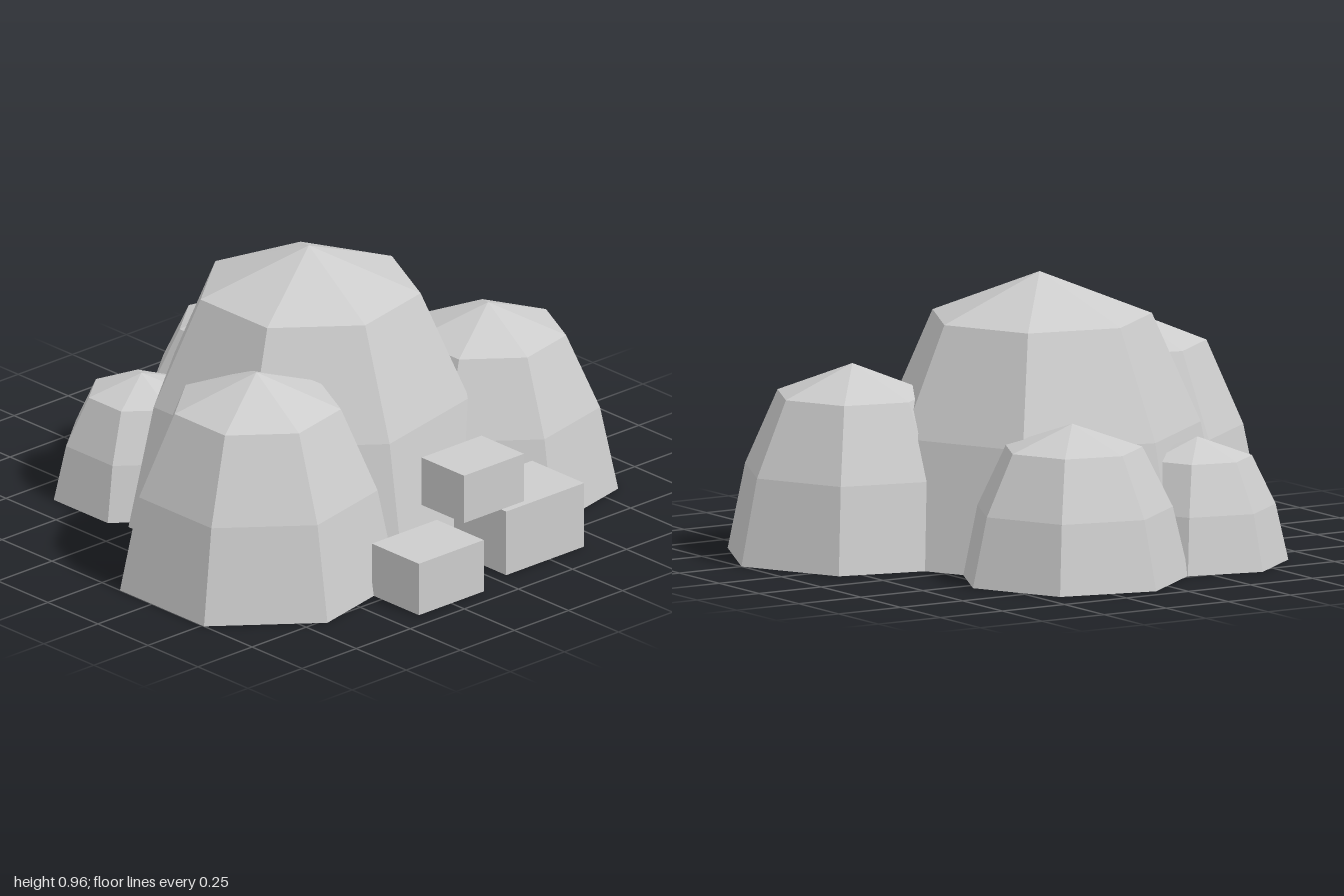
import * as THREE from 'three';

export function createModel() {
  const group = new THREE.Group();
  group.name = 'boulderCluster';

  const stone = new THREE.MeshStandardMaterial({
    name: 'stone grey', color: 0xcccccc, flatShading: true, side: THREE.DoubleSide,
  });

  // Seven-sided boulder, open underneath, with one corner towards +x
  function boulder(name, x, z, radius, height) {
    const profile = [[1, 0], [0.86, 0.45], [0.6, 0.842], [0, 1]]
      .map(([r, y]) => new THREE.Vector2(r * radius, y * height));
    const mesh = new THREE.Mesh(new THREE.LatheGeometry(profile, 7, Math.PI / 2), stone);
    mesh.name = name;
    mesh.position.set(x, 0, z);
    group.add(mesh);
  }

  boulder('centreBoulder', -0.035, -0.01, 0.64, 0.96);
  boulder('rightFrontBoulder', -0.564, 0.3, 0.484, 0.745);
  boulder('leftFrontBoulder', 0.553, 0.25, 0.447, 0.66);
  boulder('leftBackBoulder', 0.18, -0.55, 0.4, 0.53);
  boulder('rightBackBoulder', -0.36, -0.495, 0.311, 0.43);

  // Block given by its lower and upper corners
  function block(name, [x0, y0, z0], [x1, y1, z1]) {
    const mesh = new THREE.Mesh(new THREE.BoxGeometry(x1 - x0, y1 - y0, z1 - z0), stone);
    mesh.name = name;
    mesh.position.set((x0 + x1) / 2, (y0 + y1) / 2, (z0 + z1) / 2);
    group.add(mesh);
  }

  // Small stack of blocks at the front
  block('rightBlock', [-0.4, 0, 0.7], [-0.1, 0.19, 0.935]);
  block('leftBlock', [0.05, 0, 0.625], [0.41, 0.235, 0.885]);
  block('upperBlock', [-0.122, 0.235, 0.648], [0.155, 0.41, 0.86]);

  return group;
}
